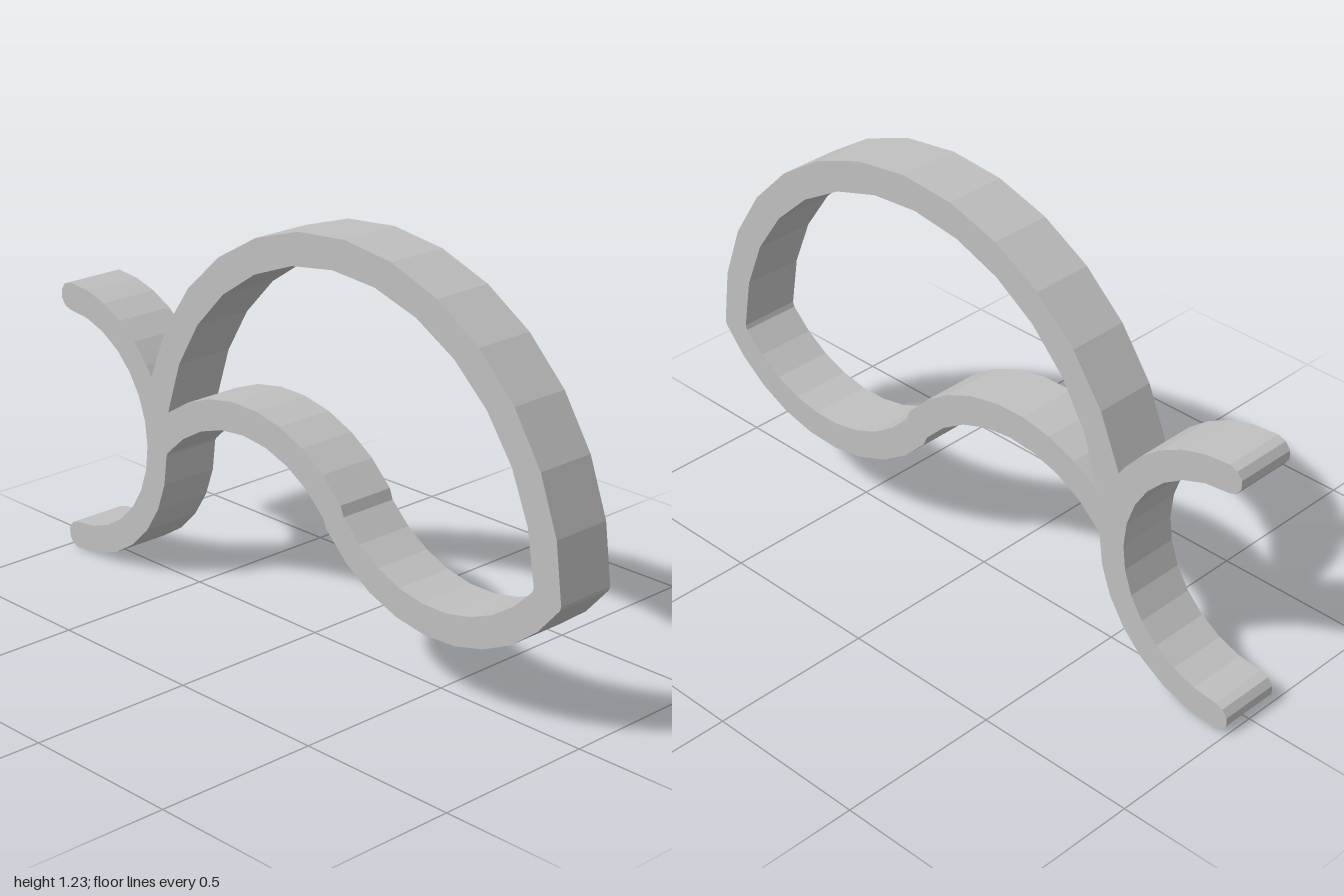
import * as THREE from 'three';

const DEPTH = 0.19;

// Points along a circular arc, angles in degrees
function arc(cx, cy, r, from, to, segments) {
  const points = [];
  for (let i = 0; i <= segments; i++) {
    const a = THREE.MathUtils.degToRad(from + ((to - from) * i) / segments);
    points.push(new THREE.Vector2(cx + r * Math.cos(a), cy + r * Math.sin(a)));
  }
  return points;
}

export function createModel() {
  const group = new THREE.Group();
  group.name = 'bandOutline';
  const grey = new THREE.MeshStandardMaterial({ color: 0xc0c0c0 });
  grey.name = 'plainGrey';

  const tail = [-0.957, 0.428];
  const dome = [0.19, 0.42];
  const crest = [-0.2, 0.14];
  const dip = [0.56, 0.737];

  // Outer edge, counter-clockwise from the lower tail tip
  const outline = new THREE.Shape([
    ...arc(...tail, 0.428, 270, 359, 7),
    ...arc(...crest, 0.435, 138, 40, 8),
    ...arc(...dip, 0.54, 220, 324.2, 9),
    ...arc(...dome, 0.813, 1, 163.6, 13),
    ...arc(...tail, 0.428, 36, 90, 5),
    ...arc(-0.957, 0.8125, 0.043, 126, 234, 3), // upper tip
    ...arc(...tail, 0.342, 90, -90, 14),
    ...arc(-0.957, 0.043, 0.043, 126, 234, 3), // lower tip
  ]);

  // Opening between the dome and the wavy underside
  outline.holes.push(new THREE.Path([
    ...arc(...crest, 0.525, 127, 40, 8),
    ...arc(...dip, 0.452, 220, 319.5, 9),
    ...arc(...dome, 0.72, 3, 168, 13),
  ]));

  const geometry = new THREE.ExtrudeGeometry(outline, { depth: DEPTH, bevelEnabled: false });
  geometry.translate(0, 0, -DEPTH / 2);
  const frame = new THREE.Mesh(geometry, grey);
  frame.name = 'bandFrame';
  group.add(frame);
  return group;
}
